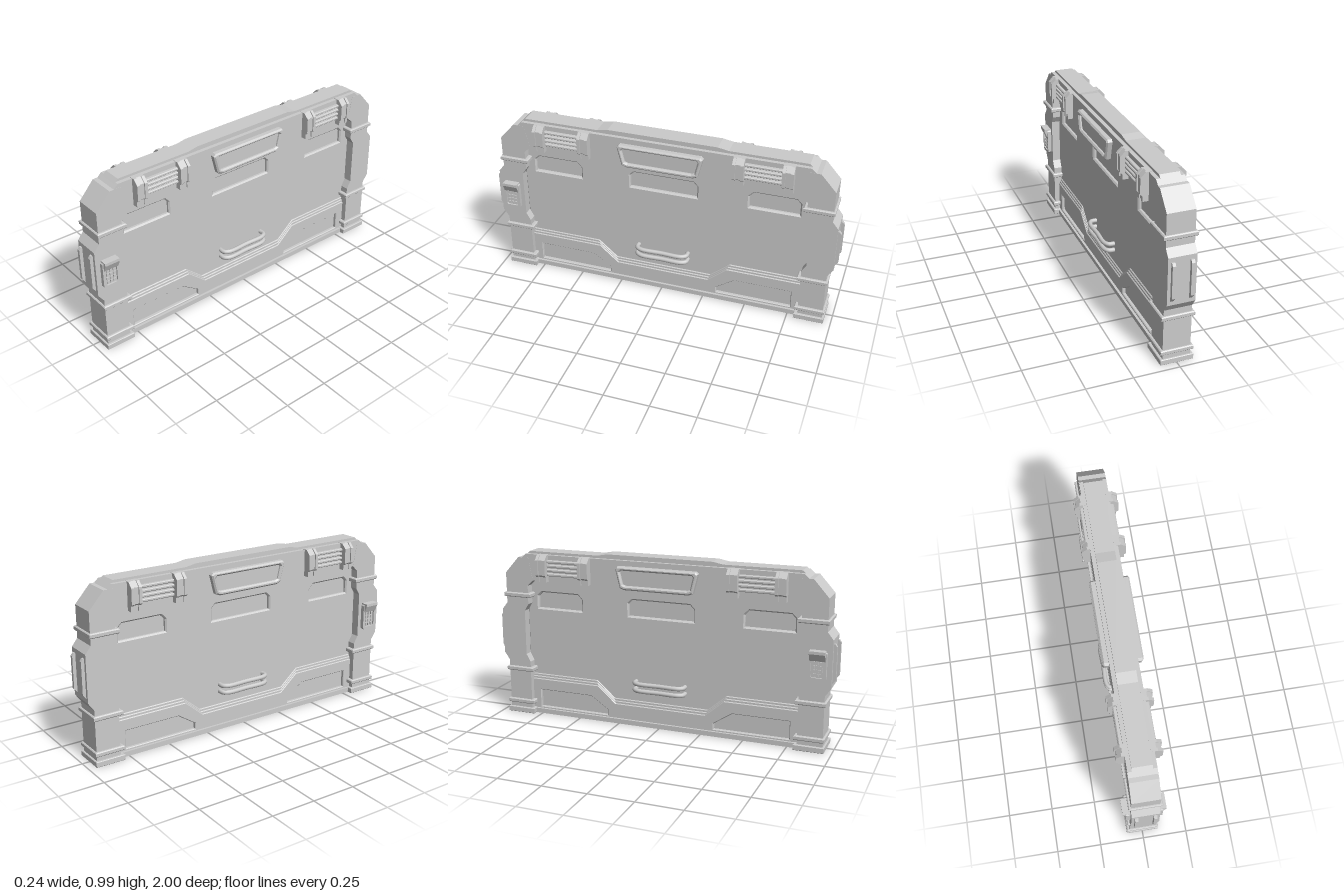
import * as THREE from 'three';

const mat = new THREE.MeshStandardMaterial({ color: 0xcccccc, side: THREE.DoubleSide });

const toPath = (pts, Type = THREE.Path) => new Type(pts.map(([z, y]) => new THREE.Vector2(z, y)));
const mirrorZ = (pts) => pts.map(([z, y]) => [-z, y]).reverse();
// complete a half outline (z >= 0) to a symmetric one
const symmetric = (pts) => [...pts, ...mirrorZ(pts)];
// rectangle with cut corners
const cutRect = (z0, z1, y0, y1, c) => [
  [z0 + c, y0], [z1 - c, y0], [z1, y0 + c], [z1, y1 - c],
  [z1 - c, y1], [z0 + c, y1], [z0, y1 - c], [z0, y0 + c]];

// side outline in (z, y), extruded over the full width -half..half in x
function slab(pts, half, bevel = 0, holes = []) {
  const shape = toPath(pts, THREE.Shape);
  shape.holes = holes.map((h) => toPath(h));
  const geo = new THREE.ExtrudeGeometry(shape, {
    depth: 2 * (half - bevel), bevelEnabled: bevel > 0, bevelSegments: 1,
    bevelSize: bevel, bevelThickness: bevel, bevelOffset: -bevel,
  });
  return geo.translate(0, 0, -(half - bevel)).rotateY(-Math.PI / 2);
}

// outline in (x, y) for the +x face, mirrored by side and extruded from z0 to z1
function sidePiece(pts, side, z0, z1) {
  const shape = toPath(pts.map(([x, y]) => [x * side, y]), THREE.Shape);
  return new THREE.ExtrudeGeometry(shape, { depth: z1 - z0, bevelEnabled: false }).translate(0, 0, z0);
}

// horizontal band round a post, bevelled at its edges
function band(y0, y1, bevel, hollow) {
  const shape = toPath([[-0.09, -0.085], [0.09, -0.085], [0.09, 0.085], [-0.09, 0.085]], THREE.Shape);
  if (hollow) shape.holes.push(toPath([[-0.07, -0.065], [-0.07, 0.065], [0.07, 0.065], [0.07, -0.065]]));
  const geo = new THREE.ExtrudeGeometry(shape, {
    depth: y1 - y0 - 2 * bevel, bevelEnabled: true, bevelSegments: 1,
    bevelSize: bevel, bevelThickness: bevel, bevelOffset: -bevel,
  });
  return geo.rotateX(-Math.PI / 2).translate(0, y0 + bevel, 0);
}

export function createModel() {
  const model = new THREE.Group();
  const add = (name, geo, parent = model) => {
    const mesh = new THREE.Mesh(geo, mat);
    mesh.name = name;
    parent.add(mesh);
    return mesh;
  };
  const box = (name, w, h, d, x, y, z) =>
    add(name, new THREE.BoxGeometry(w, h, d).translate(x, y, z));

  // thin door panel set deep between the posts: core sheet and a skin with three cut windows
  const sideWindow = [[0.767, 0.643], [0.767, 0.715], [0.745, 0.737], [0.513, 0.737], [0.488, 0.71], [0.488, 0.643]];
  const midWindow = symmetric([[0.172, 0.737], [0.194, 0.715], [0.194, 0.643]]);
  const panelOutline = [[-0.84, 0.02], [0.84, 0.02], [0.84, 0.85], [-0.84, 0.85]];
  add('panelCore', slab(panelOutline, 0.008));
  add('panelSkin', slab(panelOutline, 0.028, 0.008, [sideWindow, midWindow, mirrorZ(sideWindow)]));

  // stepped lower frame with two recessed bays
  const bay = [[0.76, 0.04], [0.76, 0.144], [0.432, 0.144], [0.325, 0.073], [0.325, 0.04]];
  const bays = [bay, mirrorZ(bay)];
  [[0, 0.034], [0.014, 0.04], [0.028, 0.046]].forEach(([drop, half], i) => {
    const outline = symmetric([
      [0.285 - drop * 0.4, 0.145 - drop], [0.395 - drop * 0.4, 0.24 - drop], [0.83, 0.24 - drop], [0.83, 0.01]]);
    add('lowerFrame' + (i + 1), slab(outline, half, 0.004, bays));
  });
  box('baseRail', 0.12, 0.028, 1.62, 0, 0.015, 0);

  // top beam with a narrower capping strip, raised in the middle
  add('topBeam', slab(symmetric([
    [0.29, 0.787], [0.35, 0.815], [0.84, 0.815], [0.84, 0.945], [0.815, 0.968]]), 0.075));
  add('beamCap', slab(symmetric([
    [0.31, 0.993], [0.37, 0.982], [0.8, 0.982], [0.842, 0.943]]), 0.053));

  // framed light in the middle of the beam
  const lampOuter = symmetric([[0.19, 0.808], [0.215, 0.818], [0.242, 0.925], [0.23, 0.938]]);
  const lampInner = symmetric([[0.18, 0.832], [0.198, 0.838], [0.215, 0.908], [0.207, 0.917]]);
  add('lampFrame', slab(lampOuter, 0.107, 0.008, [lampInner]));
  add('lampLens', slab(lampInner, 0.09));

  // clips and grille bars along the beam, both halves
  const clipProfile = (d) => [[0.055, 0.815], [0.108 - d, 0.815], [0.108 - d, 0.845], [0.12 - d, 0.855],
    [0.12 - d, 0.942], [0.092 - d, 0.97], [0.055, 0.97]];
  for (const s of [1, -1]) {
    const vents = new THREE.Group();
    vents.name = 'beamVent';
    model.add(vents);
    for (const z of [0.437, 0.702])
      for (const side of [1, -1])
        for (const [z0, z1, d] of [[-0.031, -0.014, 0], [-0.014, 0.014, 0.007], [0.014, 0.031, 0]])
          add('clip', sidePiece(clipProfile(d), side, s * z + z0, s * z + z1), vents);
    for (let i = 0; i < 4; i++) {
      const y = 0.85 + i * 0.025;
      add('grilleBar', slab(cutRect(s * 0.568 - 0.125, s * 0.568 + 0.125, y, y + 0.016, 0.002), 0.094, 0.004), vents);
    }
  }

  // end posts with bands, foot and guard bars
  const postOutline = [
    [0.81, 0.03], [0.95, 0.03], [0.95, 0.32], [0.982, 0.365], [0.982, 0.63], [0.95, 0.67],
    [0.95, 0.85], [0.865, 0.945], [0.8, 0.945], [0.775, 0.815], [0.81, 0.78],
    [0.81, 0.67], [0.835, 0.63], [0.835, 0.365], [0.81, 0.32]];
  const guardBar = [[0.975, 0.387], [0.982, 0.387], [1, 0.41], [1, 0.59], [0.99, 0.605], [0.975, 0.605]];
  for (const s of [1, -1]) {
    const post = new THREE.Group();
    post.name = s > 0 ? 'frontPost' : 'backPost';
    model.add(post);
    add('postBody', slab(s > 0 ? postOutline : mirrorZ(postOutline), 0.076), post);
    for (const [y0, y1] of [[0.058, 0.084], [0.26, 0.286], [0.71, 0.736]])
      add('band', band(y0, y1, 0.005), post).position.z = s * 0.875;
    add('foot', band(0, 0.032, 0.003, true), post).position.z = s * 0.875;
    for (const x of [0.05, -0.05])
      add('guardBar', slab(s > 0 ? guardBar : mirrorZ(guardBar), 0.009).translate(x, 0, 0), post);
  }

  // keypads on both faces of the front post, each under a flared hood
  add('keypadRim', slab(cutRect(0.857, 0.955, 0.405, 0.571, 0.014), 0.099, 0,
    [cutRect(0.872, 0.94, 0.423, 0.52, 0.006)]));
  add('keypadFace', slab(cutRect(0.865, 0.947, 0.415, 0.53, 0.006), 0.09));
  for (const side of [1, -1])
    add('keypadHood', sidePiece([[0.07, 0.515], [0.099, 0.515], [0.117, 0.555], [0.117, 0.571], [0.07, 0.571]],
      side, 0.863, 0.949));
  for (let r = 0; r < 4; r++)
    for (let c = 0; c < 3; c++)
      box('key', 0.192, 0.016, 0.014, 0, 0.437 + r * 0.022, 0.886 + c * 0.02);

  // pairs of tube handles on each face
  for (const side of [1, -1])
    for (const y of [0.222, 0.262]) {
      const path = new THREE.CatmullRomCurve3([[0.02, -0.148], [0.06, -0.146], [0.077, -0.12],
        [0.077, 0], [0.077, 0.12], [0.06, 0.146], [0.02, 0.148]]
        .map(([x, z]) => new THREE.Vector3(side * x, y, z)));
      add('handle', new THREE.TubeGeometry(path, 32, 0.013, 10));
    }

  return model;
}
